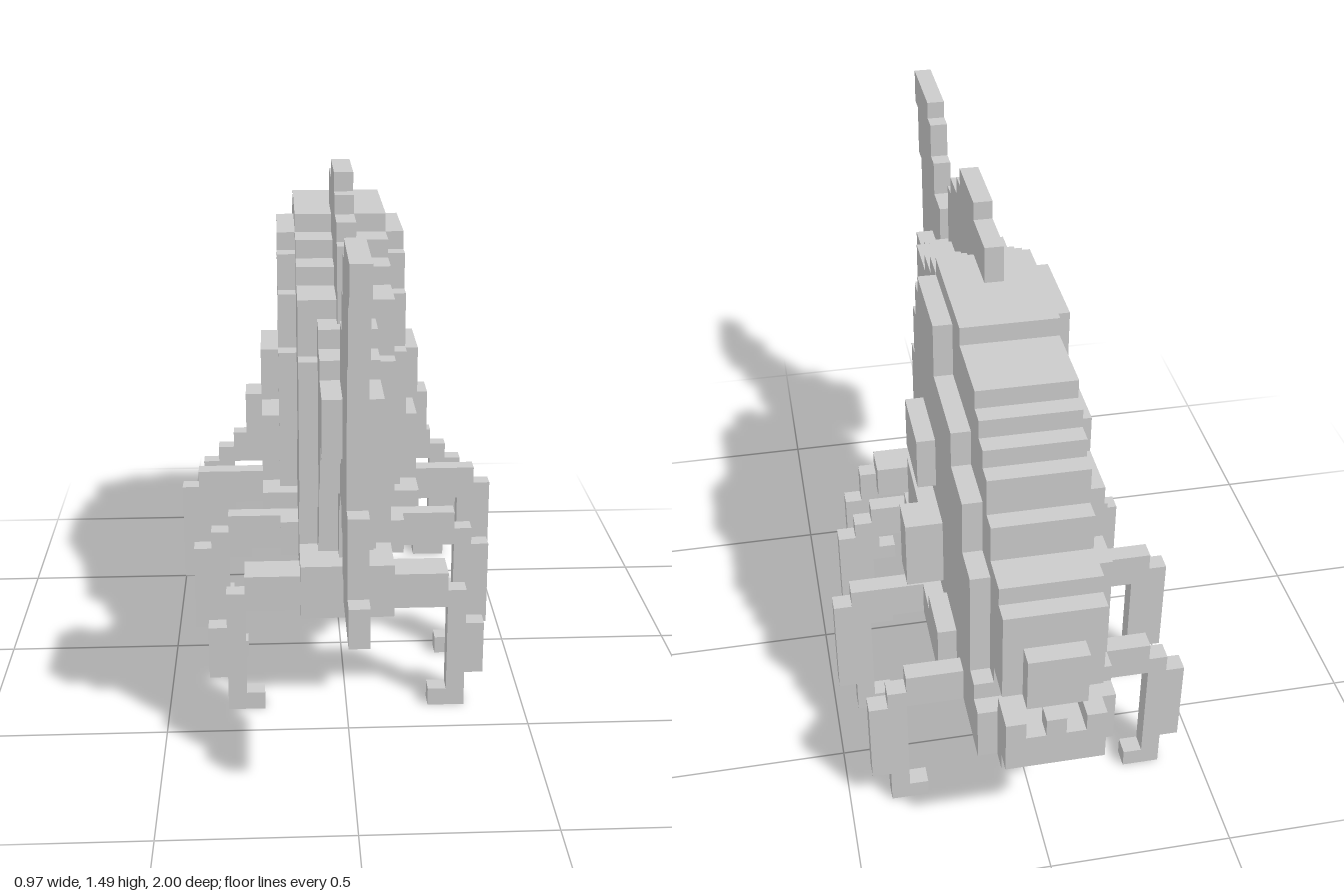
import * as THREE from 'three';

const U = 2 / 39; // one block
const mat = new THREE.MeshStandardMaterial({ color: 0xcccccc, flatShading: true });

// Stepped side profile: runs of [end, bottom, top] in blocks counted from the tail end,
// extruded between x0 and x1 (blocks).
function slab(name, x0, x1, start, runs) {
  const lower = [], upper = [];
  let k = start;
  for (const [end, b, t] of runs) {
    lower.push([k, b], [end, b]);
    upper.push([k, t], [end, t]);
    k = end;
  }
  const pts = [...lower, ...upper.reverse()].map(([a, j]) => new THREE.Vector2((a - 19.5) * U, j * U));
  const clean = pts.filter((p, i) => i === 0 || p.distanceTo(pts[i - 1]) > 1e-6);
  const geo = new THREE.ExtrudeGeometry(new THREE.Shape(clean), { depth: (x1 - x0) * U, bevelEnabled: false });
  geo.rotateY(Math.PI / 2);
  geo.translate(x0 * U, 0, 0);
  const mesh = new THREE.Mesh(geo, mat);
  mesh.name = name;
  return mesh;
}

// Profile centred on x = 0
const layer = (name, half, start, runs) => slab(name, -half, half, start, runs);

// Leg made of blocks [x0, x1, y0, y1], one block deep unless a depth is given
function leg(name, side, k, blocks) {
  const g = new THREE.Group();
  g.name = name;
  for (const [x0, x1, y0, y1, depth = 1] of blocks) {
    const geo = new THREE.BoxGeometry((x1 - x0) * U, (y1 - y0) * U, depth * U);
    geo.translate(side * (x0 + x1) / 2 * U, (y0 + y1) / 2 * U, (19.5 - k - depth / 2) * U);
    g.add(new THREE.Mesh(geo, mat));
  }
  return g;
}

export function createModel() {
  const model = new THREE.Group();

  // Thin fins on the centre line
  model.add(
    layer('tailFin', 0.5, 2, [[5, 10, 28], [6, 11, 27], [7, 13, 25], [9, 14, 23], [10, 13, 21], [11, 10, 21], [12, 10, 22]]),
    layer('tailFinLowerTip', 0.5, 0, [[1, 10, 12], [2, 10, 16]]),
    layer('tailFinUpperTip', 0.5, 0, [[1, 26, 28], [2, 23, 28]]),
    layer('dorsalFin', 0.5, 12, [[13, 21, 26], [15, 21, 27], [16, 21, 28], [20, 21, 29], [23, 21, 28]]),
  );

  // Body in nested layers, narrow to wide
  model.add(
    layer('tailRoot', 1.5, 6, [[8, 17, 20], [9, 16, 20], [11, 14, 21], [13, 10, 22], [14, 8, 22]]),
    layer('body', 2.5, 12, [
      [13, 12, 20], [14, 12, 23], [15, 6, 23], [16, 7, 23], [17, 7, 24], [18, 6, 24], [20, 6, 25],
      [24, 7, 26], [27, 6, 26], [29, 6, 25], [31, 7, 25], [32, 7, 24], [33, 7, 23], [34, 7, 22],
      [35, 7, 20], [36, 7, 18],
    ]),
    layer('rearBelly', 2.5, 11, [[14, 6, 9]]),
    layer('upperLip', 2.5, 36, [[37, 12, 18], [38, 12, 17]]),
    layer('nose', 1.5, 38, [[39, 12, 15]]),
    layer('flanks', 3.5, 17, [
      [18, 14, 19], [19, 14, 22], [20, 14, 24], [25, 7, 25], [30, 7, 22], [33, 7, 20], [35, 7, 17],
      [36, 7, 11],
    ]),
    layer('frontHip', 3.5, 17, [[20, 7, 9]]),
    layer('hips', 4.5, 19, [[21, 7, 10], [28, 7, 9], [31, 7, 10]]),
  );

  // Lower jaw with separate teeth
  model.add(
    layer('jawBase', 3.5, 36, [[37, 7, 10]]),
    layer('lowerJaw', 2.5, 37, [[38, 7, 10], [39, 8, 10]]),
  );
  for (const x of [-2, 0, 2]) model.add(slab('tooth', x - 0.5, x + 0.5, 38, [[39, 10, 11]]));
  for (const x of [-2, 2]) model.add(slab('backTooth', x - 0.5, x + 0.5, 37, [[38, 10, 11]]));

  // Eyes and side fins
  model.add(
    layer('eyes', 4.5, 21, [[25, 15, 18]]),
    layer('sideFinRoots', 4.5, 21, [[25, 10, 14]]),
    layer('sideFinTips', 5.5, 25, [[27, 10, 14]]),
  );

  // Four pairs of bent legs
  const middle = [[2, 6.5, 7, 9], [6.5, 7.5, 6, 8], [6.5, 8.5, 2, 7], [6.5, 7.5, 0, 2], [5.5, 6.5, 0, 1]];
  const wide = [[2, 8.5, 7, 9], [7.5, 9.5, 2, 8], [7.5, 8.5, 0, 2], [6.5, 7.5, 0, 1]];
  const small = [[2, 5.5, 6, 8, 2], [5.5, 6.5, 5, 7], [5.5, 7.5, 2, 5], [5.5, 6.5, 0, 2], [4.5, 5.5, 0, 1]];
  for (const side of [-1, 1]) {
    const s = side > 0 ? 'left' : 'right';
    model.add(
      leg(s + 'FrontLeg', side, 12, small),
      leg(s + 'SecondLeg', side, 18, middle),
      leg(s + 'ThirdLeg', side, 25, wide),
      leg(s + 'BackLeg', side, 32, middle),
    );
  }
  return model;
}
